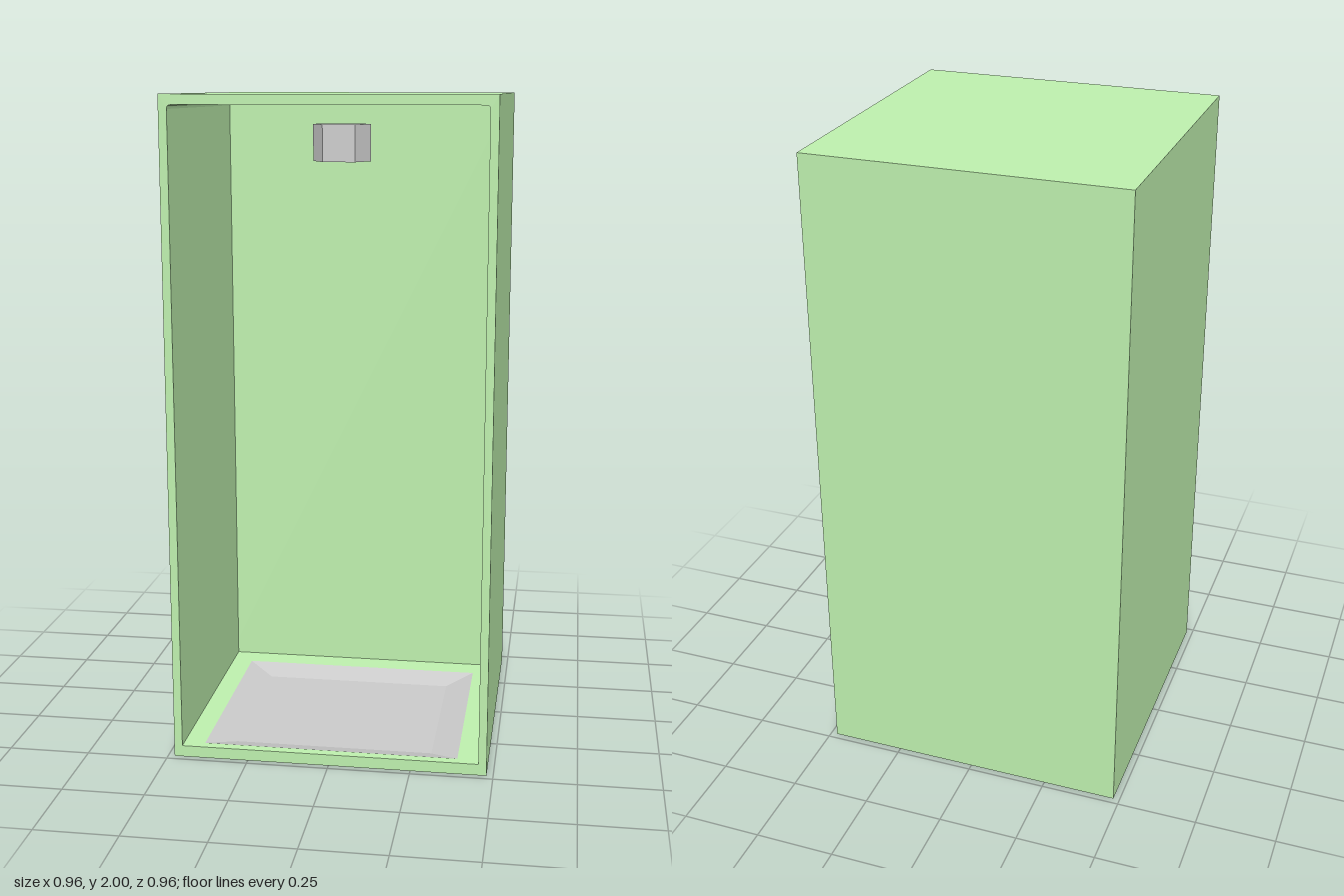
import * as THREE from 'three';

const W = 0.48;          // half width and half depth
const H = 2;             // total height
const IN = 0.455;        // half width of the opening
const FLOOR = 0.035, CEIL = 1.97, BACK = -0.32;

const green = new THREE.MeshStandardMaterial({ color: 0xbef0ae });
const grey = new THREE.MeshStandardMaterial({ color: 0xcccccc, flatShading: true, side: THREE.DoubleSide });

function add(group, name, geometry, material) {
  const mesh = new THREE.Mesh(geometry, material);
  mesh.name = name;
  group.add(mesh);
  return mesh;
}

const extrude = (shape, depth) =>
  new THREE.ExtrudeGeometry(shape, { depth, bevelEnabled: false, curveSegments: 4 });

const polygon = (pts) => new THREE.Shape(pts.map(([x, y]) => new THREE.Vector2(x, y)));

export function createModel() {
  const group = new THREE.Group();
  group.name = 'showerCabin';

  // side walls and ceiling, one arch with slightly rounded inner corners
  const r = 0.012;
  const arch = new THREE.Shape();
  arch.moveTo(-W, FLOOR);
  arch.lineTo(-IN, FLOOR);
  arch.lineTo(-IN, CEIL - r);
  arch.quadraticCurveTo(-IN, CEIL, -IN + r, CEIL);
  arch.lineTo(IN - r, CEIL);
  arch.quadraticCurveTo(IN, CEIL, IN, CEIL - r);
  arch.lineTo(IN, FLOOR);
  arch.lineTo(W, FLOOR);
  arch.lineTo(W, H);
  arch.lineTo(-W, H);
  add(group, 'wallsAndCeiling', extrude(arch, W - BACK), green).position.z = BACK;

  // back wall
  const backDepth = BACK + W;
  add(group, 'backWall', new THREE.BoxGeometry(2 * W, H - FLOOR, backDepth), green)
    .position.set(0, (H + FLOOR) / 2, -W + backDepth / 2);

  // floor slab with the opening for the tray, and its underside
  const trayX = 0.39, trayZ = 0.345, trayCentre = 0.105;
  const slab = polygon([[-W, -W], [W, -W], [W, W], [-W, W]]);
  slab.holes.push(polygon([
    [-trayX, -trayCentre - trayZ], [-trayX, -trayCentre + trayZ],
    [trayX, -trayCentre + trayZ], [trayX, -trayCentre - trayZ],
  ]));
  const under = 0.006;
  add(group, 'floor', extrude(slab, FLOOR - under).rotateX(-Math.PI / 2), green).position.y = under;
  add(group, 'floorBase', new THREE.BoxGeometry(2 * W, under, 2 * W), green).position.y = under / 2;

  // shallow tray with sloping sides
  const profile = [[0, 0.012], [0.78, 0.012], [1, FLOOR]]
    .map(([s, y]) => new THREE.Vector2(s * Math.SQRT2, y));
  const tray = add(group, 'showerTray', new THREE.LatheGeometry(profile, 4, Math.PI / 4), grey);
  tray.scale.set(trayX, 1, trayZ);
  tray.position.z = trayCentre;

  // six-sided shower head
  const headX = -0.0075, headZ = 0.14;
  const head = polygon([
    [-0.0875, 0], [-0.049, -0.065], [0.049, -0.065],
    [0.0875, 0], [0.049, 0.065], [-0.049, 0.065],
  ]);
  add(group, 'showerHead', extrude(head, 0.11).rotateX(-Math.PI / 2), grey)
    .position.set(headX, 1.8, headZ);

  // arm from the back wall to the head
  const armLength = headZ - BACK;
  add(group, 'showerArm', new THREE.CylinderGeometry(0.025, 0.025, armLength, 6).rotateX(Math.PI / 2), grey)
    .position.set(headX, 1.86, BACK + armLength / 2);

  return group;
}
